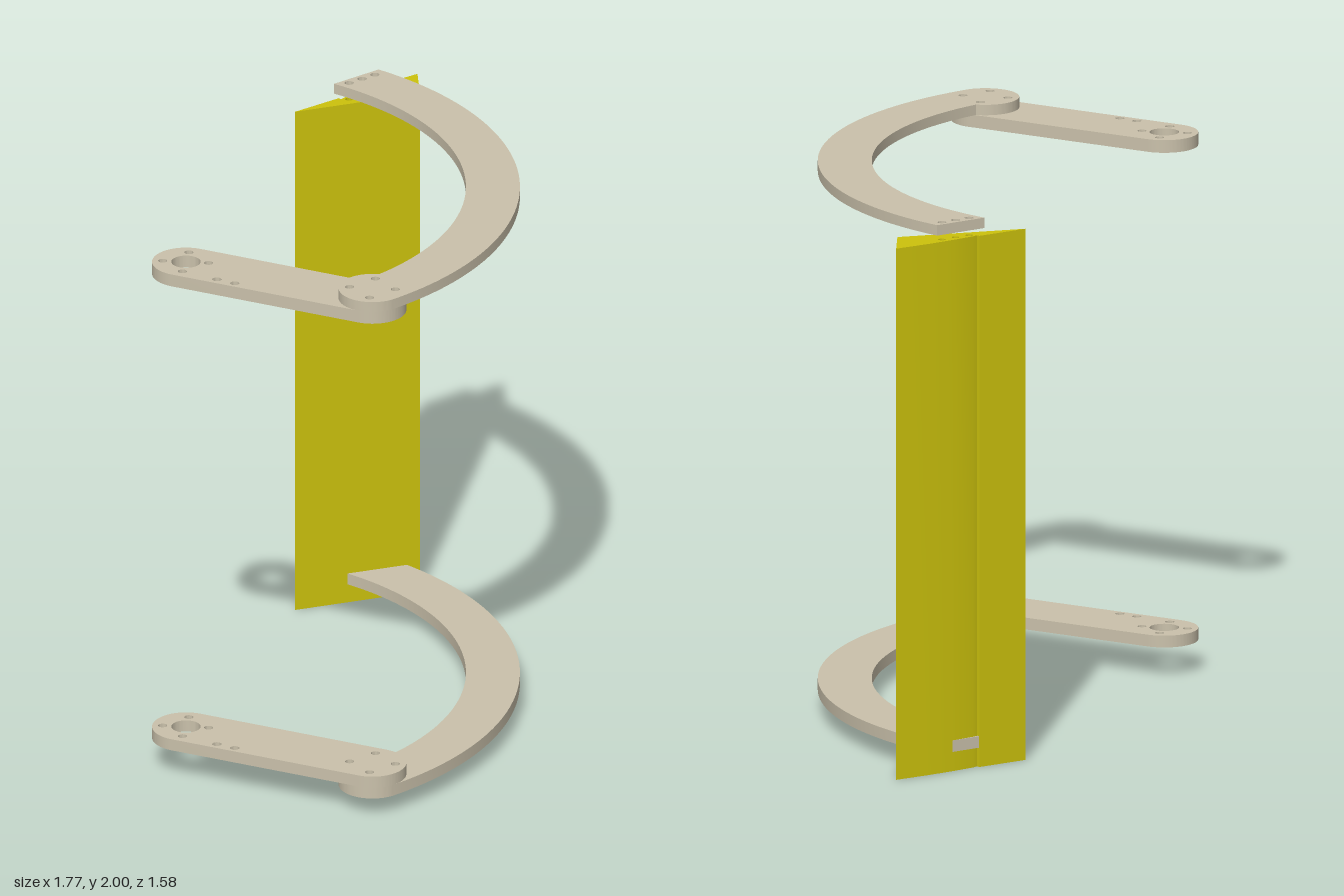
import * as THREE from 'three';
import { toCreasedNormals } from 'three/addons/utils/BufferGeometryUtils.js';

const HOLE = 0.016;
const BOSS = { x: -0.435, z: 0.665, r: 0.12 };
const EYE = { x: -0.77, z: 0.02 };
const BEND = { x: -0.48, z: -0.455, inner: 1.05 };
const END_Z = -0.79;
const bossHoles = [[-0.493, 0.608], [-0.378, 0.608], [-0.493, 0.723], [-0.378, 0.723]];
const endHoles = [[0.562, -0.763], [0.62, -0.763], [0.677, -0.763]];

function drill(shape, x, z, r = HOLE) {
  const hole = new THREE.Path();
  hole.absarc(x, z, r, 0, Math.PI * 2, true);
  shape.holes.push(hole);
}

// Plan outline (x, z) raised from y = bottom to y = top
function plate(name, shape, bottom, top, material) {
  const geo = new THREE.ExtrudeGeometry(shape, { depth: top - bottom, bevelEnabled: false, curveSegments: 32 });
  geo.rotateX(Math.PI / 2);
  geo.translate(0, top, 0);
  const mesh = new THREE.Mesh(toCreasedNormals(geo, 0.5), material);
  mesh.name = name;
  return mesh;
}

// Curved arm: a ring segment with a round boss at one end and a flat cut at the other
function armShape() {
  const dx = BOSS.x - BEND.x, dz = BOSS.z - BEND.z;
  const dist = Math.hypot(dx, dz), aim = Math.atan2(dz, dx);
  const outer = dist + BOSS.r, inner = BEND.inner;
  const phi = Math.acos((inner ** 2 - dist ** 2 - BOSS.r ** 2) / (2 * dist * BOSS.r));
  const bossEnd = aim + Math.PI * 2 - phi;
  const px = BOSS.x + BOSS.r * Math.cos(bossEnd), pz = BOSS.z + BOSS.r * Math.sin(bossEnd);
  const cut = r => Math.asin((END_Z - BEND.z) / r);
  const s = new THREE.Shape();
  s.absarc(BEND.x, BEND.z, outer, cut(outer), aim, false);
  s.absarc(BOSS.x, BOSS.z, BOSS.r, aim, bossEnd, false);
  s.absarc(BEND.x, BEND.z, inner, Math.atan2(pz - BEND.z, px - BEND.x), cut(inner), true);
  s.closePath();
  [...bossHoles, ...endHoles].forEach(([x, z]) => drill(s, x, z));
  return s;
}

// Straight link: a capsule between the two pivots
function linkShape() {
  const a = Math.atan2(BOSS.z - EYE.z, BOSS.x - EYE.x);
  const s = new THREE.Shape();
  s.absarc(BOSS.x, BOSS.z, BOSS.r, a - Math.PI / 2, a + Math.PI / 2, false);
  s.absarc(EYE.x, EYE.z, BOSS.r, a + Math.PI / 2, a + Math.PI * 1.5, false);
  s.closePath();
  drill(s, EYE.x, EYE.z, 0.052);
  for (const x of [-0.83, -0.713]) for (const z of [-0.037, 0.077]) drill(s, x, z);
  [[-0.775, 0.205], [-0.745, 0.27], ...bossHoles].forEach(([x, z]) => drill(s, x, z));
  return s;
}

// Wedge-shaped blade with a shallow groove down its back
function bladeShape() {
  const s = new THREE.Shape([
    [0.345, -0.795], [0.538, -0.792], [0.54, -0.78], [0.56, -0.785], [0.65, -0.79],
    [0.75, -0.791], [0.885, -0.786], [0.79, -0.648],
  ].map(([x, z]) => new THREE.Vector2(x, z)));
  endHoles.forEach(([x, z]) => drill(s, x, z, 0.013));
  return s;
}

export function createModel() {
  const beige = new THREE.MeshStandardMaterial({ color: 0xcac1ab });
  beige.name = 'beige';
  const yellow = new THREE.MeshStandardMaterial({ color: 0xccc20c });
  yellow.name = 'yellow';

  const model = new THREE.Group();
  model.name = 'bladeOnArms';
  model.add(
    plate('upperArm', armShape(), 1.962, 2, beige),
    plate('upperLink', linkShape(), 1.916, 1.962, beige),
    plate('lowerArm', armShape(), 0.07, 0.112, beige),
    plate('lowerLink', linkShape(), 0.112, 0.155, beige),
    plate('blade', bladeShape(), 0, 1.937, yellow),
  );
  return model;
}
